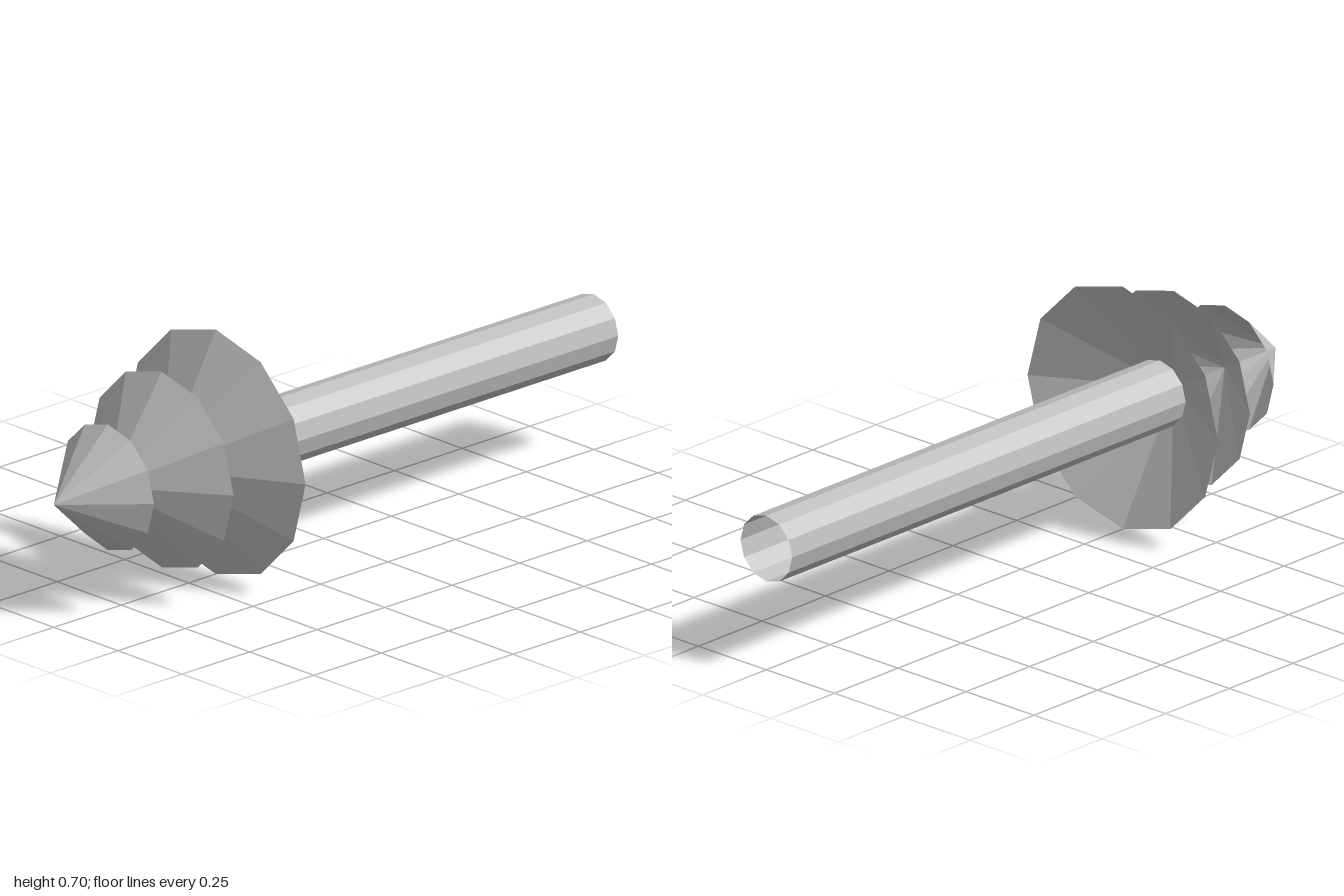
import * as THREE from 'three';

const SIDES = 12;
const AXIS_Y = 0.35;

export function createModel() {
  const model = new THREE.Group();
  model.name = 'barbedBolt';
  const grey = new THREE.MeshStandardMaterial({
    color: 0xc0c0c0, flatShading: true, side: THREE.DoubleSide,
  });
  grey.name = 'plainGrey';

  // Open round section along z, from back to front
  function addSection(name, frontRadius, backRadius, zBack, zFront) {
    const length = zFront - zBack;
    const geometry = frontRadius === 0
      ? new THREE.ConeGeometry(backRadius, length, SIDES, 1, true)
      : new THREE.CylinderGeometry(frontRadius, backRadius, length, SIDES, 1, true);
    geometry.rotateX(Math.PI / 2);
    const mesh = new THREE.Mesh(geometry, grey);
    mesh.name = name;
    mesh.position.set(0, AXIS_Y, (zBack + zFront) / 2);
    model.add(mesh);
  }

  // Hollow shaft, its front end tucked into the largest cone
  addSection('shaft', 0.095, 0.095, -1, 0.55);

  // Three hollow cones, shrinking toward the tip
  addSection('rearCone', 0, 0.35, 0.4, 0.6);
  addSection('middleCone', 0, 0.28, 0.6, 0.8);
  addSection('tipCone', 0, 0.18, 0.8, 1);

  return model;
}
